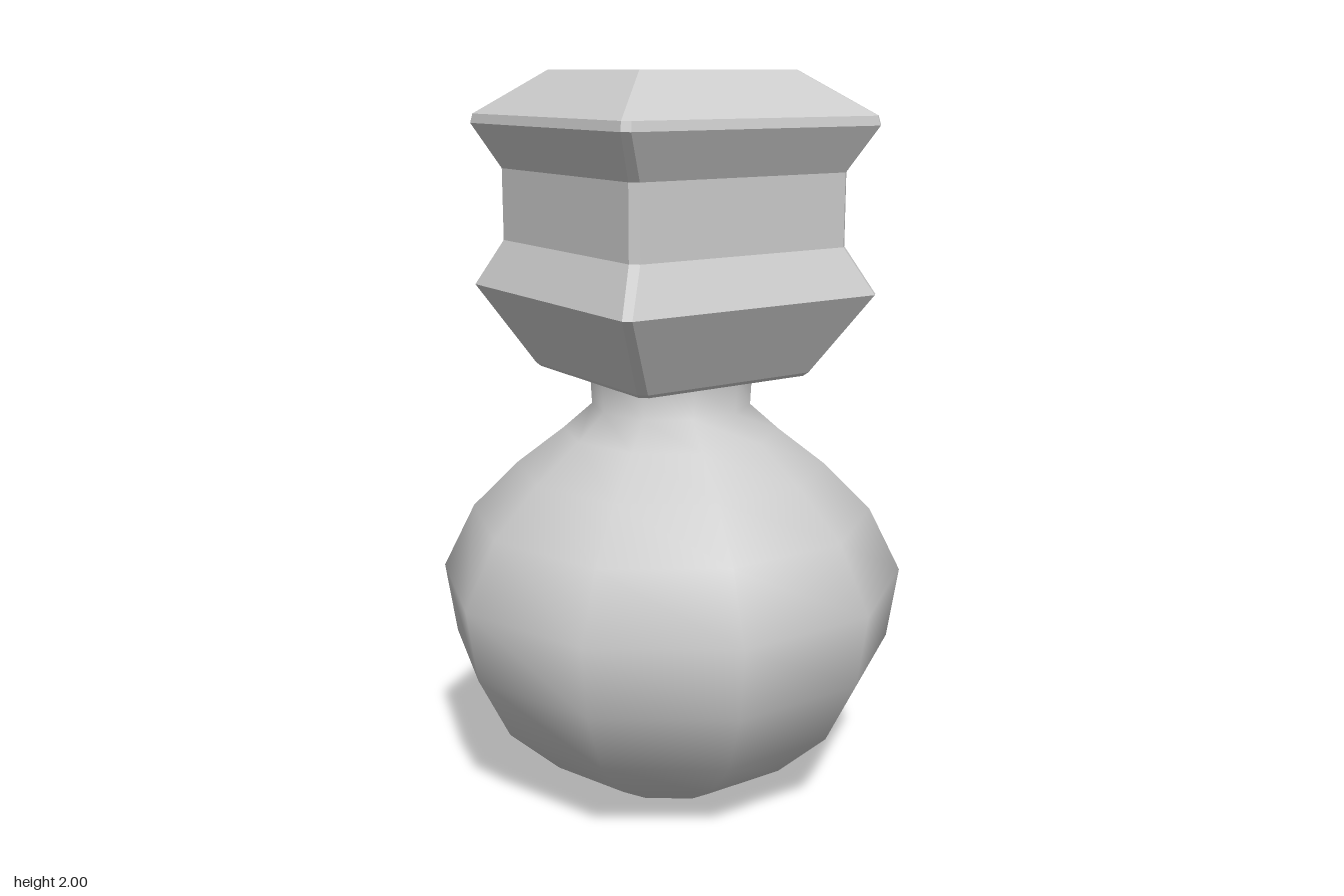
import * as THREE from 'three';

const SIDES = 10;

// Square ring with cut corners: half width h, corner cut c, height y
function ring([h, c, y]) {
  const pts = [];
  for (let k = 0; k < 4; k++) {
    const cos = [1, 0, -1, 0][k], sin = [0, 1, 0, -1][k];
    for (const [x, u] of [[h, h - c], [h - c, h]]) {
      pts.push([x * cos - u * sin, y, -(x * sin + u * cos)]);
    }
  }
  return pts;
}

// Closed faceted solid through a stack of rings, bottom to top
function loft(sections) {
  const rings = sections.map(ring);
  const pos = [];
  const tri = (a, b, c) => pos.push(...a, ...b, ...c);
  for (let r = 0; r < rings.length - 1; r++) {
    const lo = rings[r], hi = rings[r + 1];
    for (let i = 0; i < 8; i++) {
      const j = (i + 1) % 8;
      tri(lo[i], lo[j], hi[j]);
      tri(lo[i], hi[j], hi[i]);
    }
  }
  const bottom = rings[0], top = rings[rings.length - 1];
  for (let i = 1; i < 7; i++) {
    tri(bottom[0], bottom[i + 1], bottom[i]);
    tri(top[0], top[i], top[i + 1]);
  }
  const geometry = new THREE.BufferGeometry();
  geometry.setAttribute('position', new THREE.Float32BufferAttribute(pos, 3));
  geometry.computeVertexNormals();
  return geometry;
}

export function createModel() {
  const model = new THREE.Group();
  const add = (name, geometry, options = {}) => {
    const material = new THREE.MeshStandardMaterial({ color: 0xcccccc, ...options });
    const mesh = new THREE.Mesh(geometry, material);
    mesh.name = name;
    model.add(mesh);
    return mesh;
  };

  // Round bottle body running up into the neck
  const profile = [
    [0.215, 0], [0.38, 0.1], [0.53, 0.24], [0.62, 0.42], [0.65, 0.62], [0.56, 0.8],
    [0.43, 0.93], [0.3, 1.03], [0.22, 1.1], [0.225, 1.2],
  ].map(([r, y]) => new THREE.Vector2(r, y));
  add('bottleBody', new THREE.LatheGeometry(profile, SIDES, Math.PI / 2), { side: THREE.DoubleSide });

  // Flat underside
  add('bottleBase', new THREE.CircleGeometry(0.215, SIDES).rotateX(Math.PI / 2));

  // Square stopper with a waist and bevelled edges
  add('stopper', loft([
    [0.27, 0.02, 1.195], [0.28, 0.02, 1.205], [0.4, 0.018, 1.42], [0.34, 0.02, 1.545],
    [0.34, 0.02, 1.74], [0.4, 0.018, 1.86], [0.395, 0.018, 1.885], [0.245, 0.02, 2],
  ]), { flatShading: true });

  return model;
}
